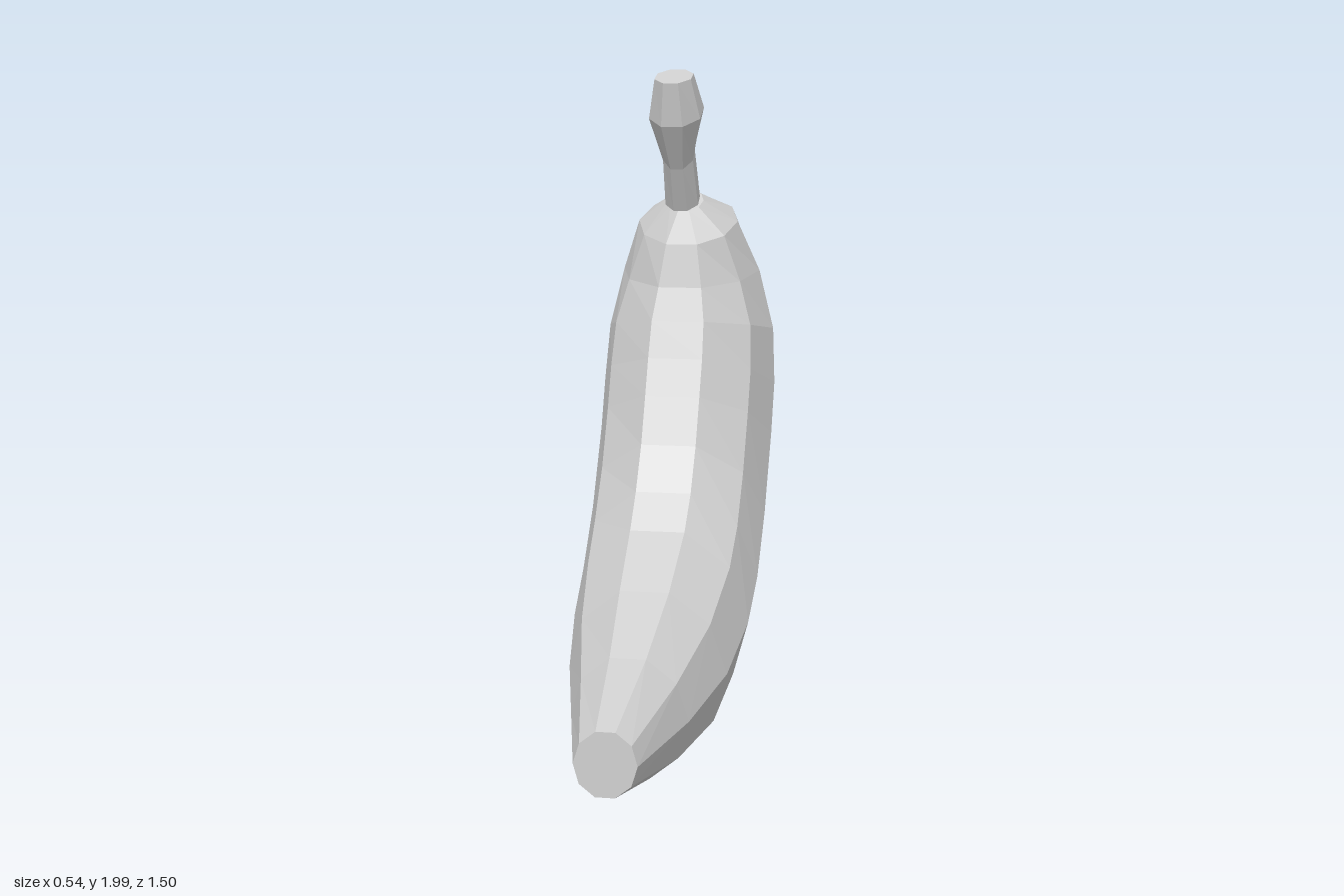
import * as THREE from 'three';

const material = new THREE.MeshStandardMaterial({ color: 0xcccccc, flatShading: true });

// Each ring: [inner z, inner y, outer z, outer y, half width]
const bodyRings = [
  [0.74, 0.24, 0.75, 0.06, 0.09],
  [0.45, 0.37, 0.40, 0.01, 0.17],
  [0.22, 0.51, 0.12, 0.02, 0.235],
  [0.03, 0.65, -0.08, 0.10, 0.265],
  [-0.06, 0.75, -0.27, 0.22, 0.27],
  [-0.14, 0.88, -0.46, 0.43, 0.27],
  [-0.20, 1.02, -0.65, 0.75, 0.27],
  [-0.245, 1.13, -0.72, 0.94, 0.27],
  [-0.285, 1.24, -0.745, 1.16, 0.26],
  [-0.32, 1.34, -0.72, 1.42, 0.215],
  [-0.345, 1.47, -0.58, 1.60, 0.155],
  [-0.38, 1.57, -0.46, 1.63, 0.055],
];
const stemRings = [
  [-0.38, 1.57, -0.46, 1.63, 0.055],
  [-0.32, 1.70, -0.39, 1.79, 0.05],
  [-0.24, 1.83, -0.395, 1.91, 0.085],
  [-0.22, 1.96, -0.335, 2.0, 0.06],
];

// Skins flat-sided rings and closes both ends
function loft(rings, sides, shiftX) {
  const flat = Math.cos(Math.PI / sides);
  const points = rings.map(([iz, iy, oz, oy, w]) =>
    Array.from({ length: sides }, (_, j) => {
      const a = ((j + 0.5) / sides) * Math.PI * 2;
      const c = Math.cos(a) / flat / 2;
      return new THREE.Vector3(
        shiftX + w * Math.sin(a),
        (iy + oy) / 2 + (iy - oy) * c,
        (iz + oz) / 2 + (iz - oz) * c
      );
    })
  );
  const centre = (ring) =>
    ring.reduce((sum, p) => sum.add(p), new THREE.Vector3()).divideScalar(sides);
  const first = points[0];
  const last = points[points.length - 1];
  const startCentre = centre(first);
  const endCentre = centre(last);
  const triangles = [];
  for (let j = 0; j < sides; j++) {
    const k = (j + 1) % sides;
    for (let i = 0; i < points.length - 1; i++) {
      const p = points[i];
      const q = points[i + 1];
      triangles.push(p[j], p[k], q[j], p[k], q[k], q[j]);
    }
    triangles.push(startCentre, first[k], first[j], endCentre, last[j], last[k]);
  }
  const geometry = new THREE.BufferGeometry().setFromPoints(triangles);
  geometry.computeVertexNormals();
  return geometry;
}

export function createModel() {
  const group = new THREE.Group();
  group.name = 'banana';

  // Curved ten-sided fruit with a blunt tip
  const body = new THREE.Mesh(loft(bodyRings, 10, 0), material);
  body.name = 'fruitBody';

  // Narrow stem that swells at the cut end
  const stem = new THREE.Mesh(loft(stemRings, 8, -0.01), material);
  stem.name = 'stem';

  group.add(body, stem);
  return group;
}
